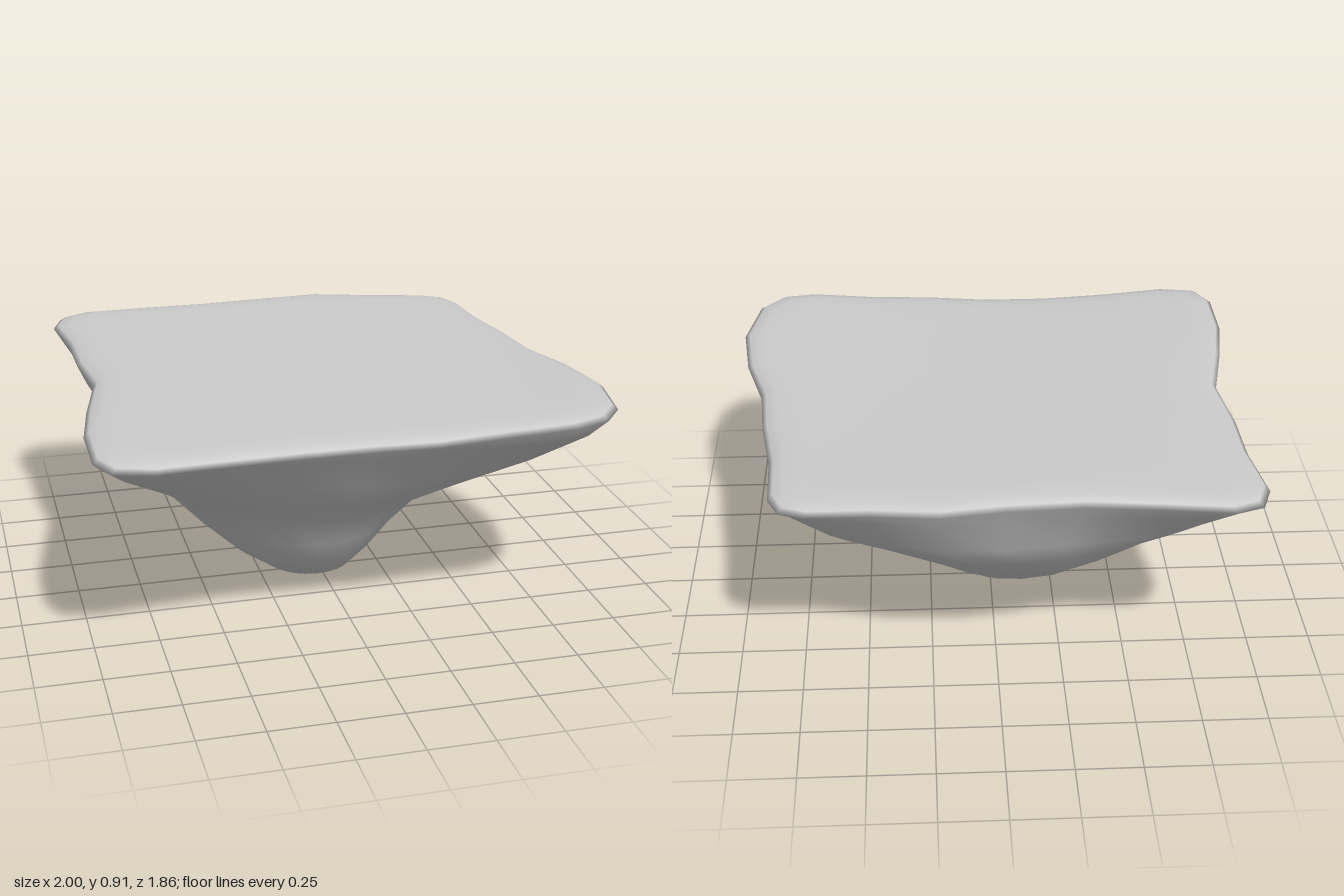
import * as THREE from 'three';

// Wavy square outline of the slab, as x, z pairs running around the rim
const RIM = [
  [-0.97, -0.78], [-0.93, -0.89], [-0.83, -0.93], [-0.58, -0.91], [-0.3, -0.89], [-0.02, -0.905], [0.22, -0.93], [0.47, -0.89],
  [0.7, -0.87], [0.79, -0.83], [0.83, -0.74], [0.84, -0.5], [0.88, -0.24], [0.9, 0.01], [0.97, 0.25], [1, 0.51],
  [0.95, 0.77], [0.87, 0.87], [0.74, 0.905], [0.5, 0.895], [0.22, 0.9], [-0.02, 0.875], [-0.28, 0.875], [-0.55, 0.895],
  [-0.81, 0.925], [-0.95, 0.895], [-1, 0.79], [-1, 0.53], [-0.96, 0.28], [-0.9, 0], [-0.93, -0.27], [-0.935, -0.52],
];

// Underside levels: y, left and right extent, back and front extent, roundness
const LEVELS = [
  [0.79, -0.96, 0.97, -0.91, 0.91, 0.08],
  [0.65, -0.83, 0.83, -0.84, 0.79, 0.42],
  [0.53, -0.74, 0.65, -0.73, 0.64, 0.7],
  [0.41, -0.64, 0.46, -0.61, 0.48, 0.9],
  [0.28, -0.51, 0.32, -0.45, 0.4, 1],
  [0.16, -0.37, 0.21, -0.26, 0.31, 1],
  [0.065, -0.23, 0.12, -0.14, 0.21, 1],
];

// Gently rolling height of the top
const topHeight = (x, z) => 0.895 - 0.025 * z * Math.cos(2 * x) + 0.015 * x * z;

function createRockGeometry() {
  const rings = [];

  // Top surface, from the middle out to the rounded edge
  for (const [scale, drop] of [[0.35, 0], [0.65, 0], [0.85, 0], [0.93, 0.003], [0.98, 0.014], [1, 0.032]]) {
    rings.push(RIM.map(([x, z]) => [x * scale, topHeight(x * scale, z * scale) - drop, z * scale]));
  }

  // Underside, changing from the square rim to a round tip
  for (const [y, x0, x1, z0, z1, round] of LEVELS) {
    rings.push(RIM.map(([x, z]) => {
      const k = 1 - round + round / Math.hypot(x, z);
      return [(x0 + x1) / 2 + (x1 - x0) / 2 * x * k, y, (z0 + z1) / 2 + (z1 - z0) / 2 * z * k];
    }));
  }

  const n = RIM.length;
  const positions = rings.flat(2);
  const centre = rings.length * n;
  const tip = centre + 1;
  positions.push(0, topHeight(0, 0), 0, -0.05, 0, 0.03);

  const index = [];
  const last = (rings.length - 1) * n;
  for (let j = 0; j < n; j++) {
    const k = (j + 1) % n;
    index.push(centre, k, j);
    for (let r = 0; r < last; r += n) {
      index.push(r + j, r + k, r + n + j, r + k, r + n + k, r + n + j);
    }
    index.push(last + j, last + k, tip);
  }

  const geometry = new THREE.BufferGeometry();
  geometry.setAttribute('position', new THREE.Float32BufferAttribute(positions, 3));
  geometry.setIndex(index);
  geometry.computeVertexNormals();
  return geometry;
}

export function createModel() {
  const group = new THREE.Group();
  group.name = 'floatingIsland';
  const rock = new THREE.Mesh(createRockGeometry(), new THREE.MeshStandardMaterial({ color: 0xcccccc }));
  rock.name = 'islandRock';
  group.add(rock);
  return group;
}
